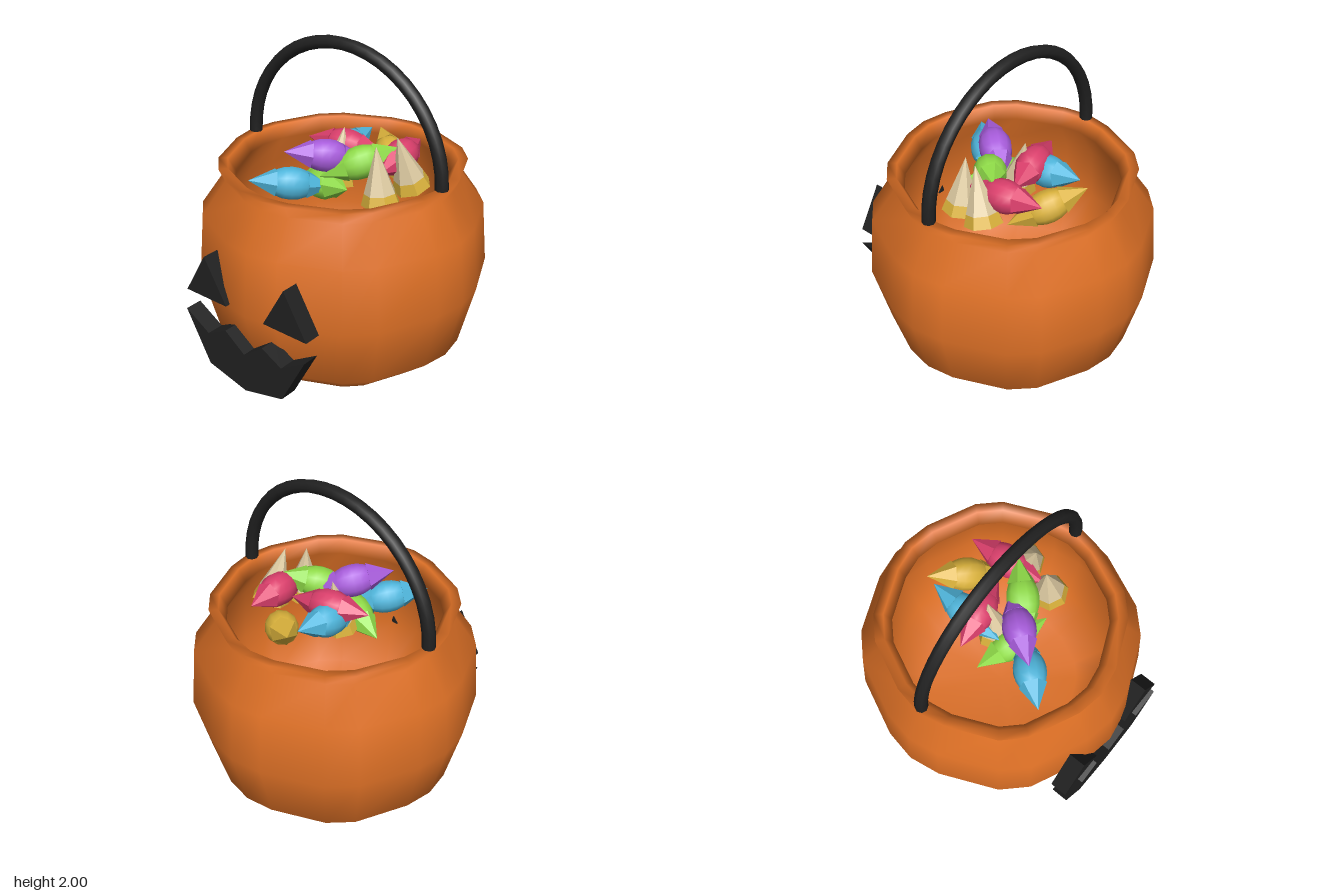
import * as THREE from 'three';

const mat = (name, color, extra = {}) => {
  const m = new THREE.MeshStandardMaterial({ color, ...extra });
  m.name = name;
  return m;
};
const V = (x, y, z) => new THREE.Vector3(x, y, z);
const UP = V(0, 1, 0);

function add(parent, name, geometry, material) {
  const mesh = new THREE.Mesh(geometry, material);
  mesh.name = name;
  parent.add(mesh);
  return mesh;
}

// Faceted normals for low-sided cones
function faceted(geometry) {
  const g = geometry.toNonIndexed();
  g.computeVertexNormals();
  return g;
}

// Revolved shell with uneven facets, four-fold symmetric
function bucketGeometry() {
  const profile = [
    [0, 0], [0.57, 0], [0.787, 0.18], [0.888, 0.57], [0.855, 0.96], [0.71, 1.17], [0.747, 1.25],
    [0.69, 1.25], [0.645, 1.17], [0.79, 0.94], [0.82, 0.57], [0.73, 0.23], [0.52, 0.06], [0, 0.05],
  ];
  const facets = [[0, 1], [13.3, 0.987], [38.5, 1], [51.5, 1], [76.7, 0.987]];
  const n = facets.length * 4;
  const positions = [], indices = [];
  for (const [r, y] of profile) {
    for (let i = 0; i < n; i++) {
      const [deg, k] = facets[i % 5];
      const a = THREE.MathUtils.degToRad(deg + 90 * Math.floor(i / 5));
      positions.push(r * k * Math.sin(a), y, r * k * Math.cos(a));
    }
  }
  for (let j = 0; j < profile.length - 1; j++) {
    for (let i = 0; i < n; i++) {
      const a = j * n + i, b = j * n + (i + 1) % n;
      if (j > 0) indices.push(a, b, b + n);
      if (j < profile.length - 2) indices.push(a, b + n, a + n);
      else indices.push(a, b, a + n);
    }
  }
  const g = new THREE.BufferGeometry();
  g.setAttribute('position', new THREE.Float32BufferAttribute(positions, 3));
  g.setIndex(indices);
  g.computeVertexNormals();
  return g;
}

const plate = (points) => new THREE.ExtrudeGeometry(
  new THREE.Shape(points.map(([x, y]) => new THREE.Vector2(x, y))),
  { depth: 0.108, bevelEnabled: false },
);

export function createModel() {
  const model = new THREE.Group();
  model.name = 'candyBucket';

  const orange = mat('pumpkin orange', 0xdf7126);
  const black = mat('black', 0x212121);
  const pink = mat('candy pink', 0xdb3f6c);
  const purple = mat('candy purple', 0xa85cdc);
  const green = mat('candy green', 0x8fdb48);
  const blue = mat('candy blue', 0x4fb6dc);
  const yellow = mat('candy yellow', 0xd9b13b);
  const cream = mat('cream', 0xdecba2);

  const body = new THREE.Group();
  body.name = 'body';
  body.position.z = -0.006;
  model.add(body);
  add(body, 'bucket', bucketGeometry(), orange);

  // Half-ring handle
  const handle = add(body, 'handle', new THREE.TorusGeometry(0.709, 0.04, 8, 24, Math.PI), black);
  handle.position.y = 1.251;
  for (const s of [-1, 1]) {
    const cap = add(body, 'handleEnd', new THREE.CircleGeometry(0.04, 8), black);
    cap.rotation.x = Math.PI / 2;
    cap.position.set(s * 0.709, 1.251, 0);
  }

  // Face
  for (const s of [-1, 1]) {
    const eye = add(model, 'eye', plate([[-0.159, 0.585], [0.159, 0.585], [0, 0.856]]), black);
    eye.position.set(s * 0.303, 0, 0.778);
  }
  const mouth = add(model, 'mouth', plate([
    [-0.46, 0.46], [-0.286, 0.145], [0, 0.074], [0.286, 0.145], [0.46, 0.46],
    [0.286, 0.355], [0.143, 0.43], [0, 0.324], [-0.143, 0.43], [-0.286, 0.355],
  ]), black);
  mouth.position.z = 0.794;

  // Wrapped candies: oval middle with a pointed twist at each end
  const oval = new THREE.SphereGeometry(1, 12, 10).scale(0.1, 0.145, 0.1);
  const twist = faceted(new THREE.ConeGeometry(0.085, 0.16, 6));
  const candies = [
    [purple, V(-0.01, 1.315, 0.14), V(-0.16, 1.36, 0.33)],
    [blue, V(-0.13, 1.165, 0.32), V(-0.295, 1.205, 0.515)],
    [blue, V(-0.105, 1.24, -0.18), V(-0.105, 1.29, -0.43)],
    [pink, V(-0.06, 1.285, -0.115), V(-0.315, 1.3, -0.05)],
    [pink, V(0.29, 1.28, -0.19), V(0.257, 1.3, -0.44)],
    [green, V(0.16, 1.28, 0.03), V(0.31, 1.35, -0.13)],
    [green, V(-0.05, 1.12, 0.12), V(-0.25, 1.08, 0.06)],
    [yellow, V(0.1, 1.18, -0.355), V(-0.08, 1.27, -0.49)],
  ];
  for (const [material, center, tip] of candies) {
    const candy = new THREE.Group();
    candy.name = 'wrappedCandy';
    candy.position.copy(center);
    candy.quaternion.setFromUnitVectors(UP, tip.clone().sub(center).normalize());
    add(candy, 'candyMiddle', oval, material);
    for (const s of [-1, 1]) {
      const end = add(candy, 'wrapperTwist', twist, material);
      end.position.y = s * 0.175;
      if (s < 0) end.rotation.x = Math.PI;
    }
    model.add(candy);
  }

  // Corn sweets: cream cone on a yellow base band
  const tipGeo = faceted(new THREE.ConeGeometry(0.095, 0.28, 7).translate(0, 0.21, 0));
  const baseGeo = faceted(new THREE.CylinderGeometry(0.095, 0.117, 0.07, 7).translate(0, 0.035, 0));
  const corns = [
    [V(0.41, 1.135, -0.145), V(0.365, 1.48, -0.04)],
    [V(0.355, 1.09, 0.085), V(0.31, 1.435, 0.08)],
    [V(-0.05, 1.08, 0), V(-0.04, 1.43, -0.07)],
  ];
  for (const [base, tip] of corns) {
    const corn = new THREE.Group();
    corn.name = 'cornSweet';
    corn.position.copy(base);
    corn.quaternion.setFromUnitVectors(UP, tip.clone().sub(base).normalize());
    add(corn, 'cornTip', tipGeo, cream);
    add(corn, 'cornBase', baseGeo, yellow);
    model.add(corn);
  }
  return model;
}
